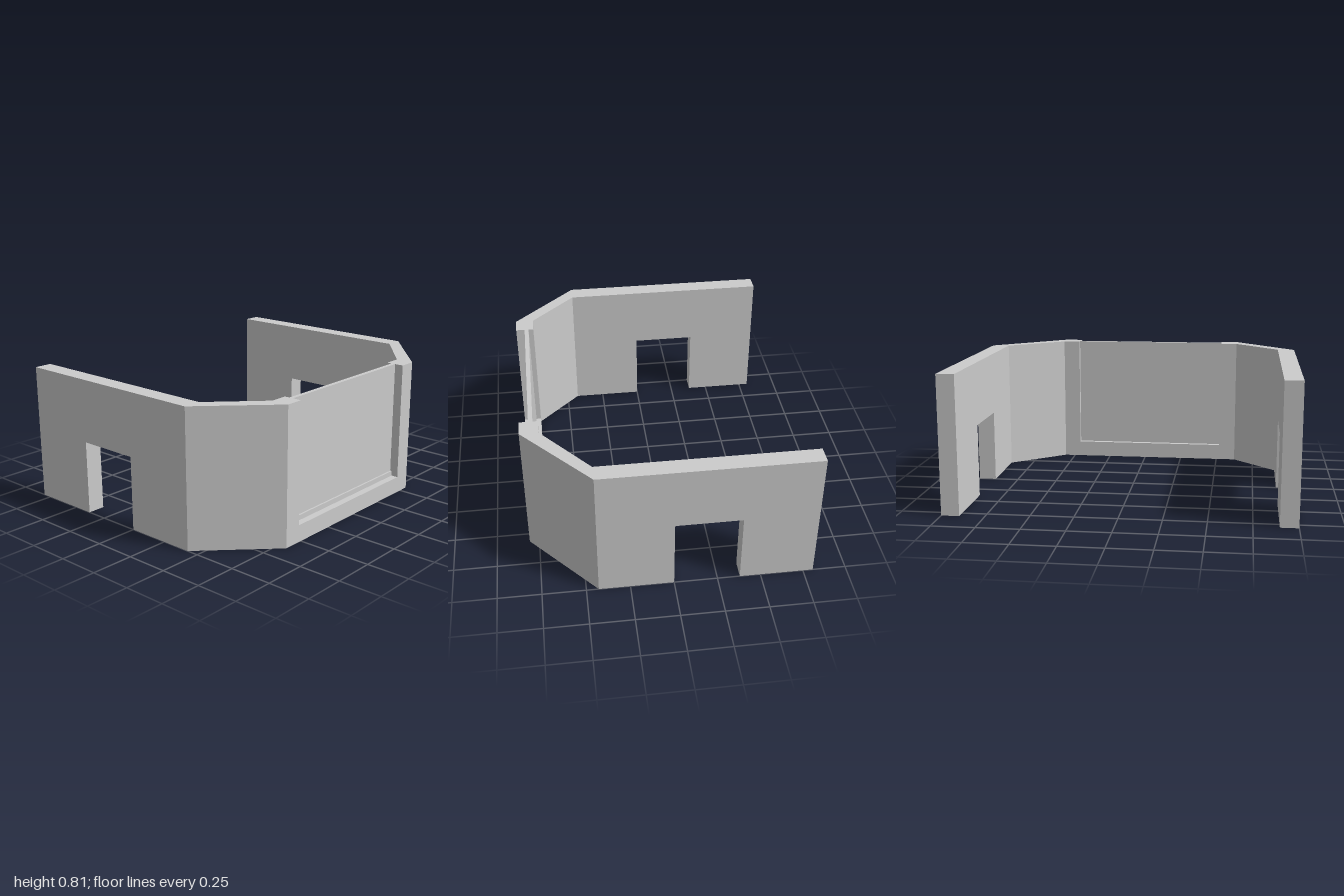
import * as THREE from 'three';

const HEIGHT = 0.81;
const FRONT = 0.808, BACK = -0.808, INNER_FRONT = 0.7;
const KNEE_Z = 0.43, OUTER_X = 1, INNER_X = 0.895;
const material = new THREE.MeshStandardMaterial({ color: 0xcccccc, flatShading: true });

const shapeOf = (points) => new THREE.Shape(points.map(([a, b]) => new THREE.Vector2(a, b)));

function part(name, geometry) {
  const mesh = new THREE.Mesh(geometry, material);
  mesh.name = name;
  return mesh;
}

// Extrude a [z, y] profile along x, from x0 to x1
function alongX(profile, x0, x1) {
  return new THREE.ExtrudeGeometry(shapeOf(profile), { depth: x1 - x0, bevelEnabled: false })
    .rotateY(-Math.PI / 2)
    .translate(x1, 0, 0);
}

// Extrude an [x, z] floor plan upwards to the wall height
function upwards(plan) {
  return new THREE.ExtrudeGeometry(shapeOf(plan.map(([x, z]) => [x, -z])), { depth: HEIGHT, bevelEnabled: false })
    .rotateX(-Math.PI / 2);
}

export function createModel() {
  const model = new THREE.Group();
  model.name = 'wallEnclosure';

  // Side walls, each with a doorway open to the ground
  const doorway = [[0, 0], [0, 0.435], [-0.38, 0.435], [-0.38, 0]];
  const sideProfile = [[BACK, 0], [BACK, HEIGHT], [KNEE_Z, HEIGHT], [KNEE_Z, 0], ...doorway];
  model.add(part('leftWall', alongX(sideProfile, INNER_X, OUTER_X)));
  model.add(part('rightWall', alongX(sideProfile, -OUTER_X, -INNER_X)));

  // Angled corner walls, each ending in a post beside the front panel
  const corners = [
    { name: 'leftCornerWall', side: 1, bendX: 0.565, postX: 0.46 },
    { name: 'rightCornerWall', side: -1, bendX: -0.625, postX: -0.52 },
  ];
  for (const { name, side, bendX, postX } of corners) {
    model.add(part(name, upwards([
      [side * OUTER_X, KNEE_Z], [bendX, FRONT], [postX, FRONT],
      [postX, INNER_FRONT], [bendX, INNER_FRONT], [side * INNER_X, KNEE_Z],
    ])));
  }

  // Front wall: thick base, small sill step and thin recessed panel
  const frontProfile = [
    [FRONT, 0], [FRONT, 0.1], [0.766, 0.1], [0.766, 0.13], [0.755, 0.13],
    [0.755, HEIGHT], [0.73, HEIGHT], [0.73, 0.1], [INNER_FRONT, 0.1], [INNER_FRONT, 0],
  ];
  model.add(part('frontPanel', alongX(frontProfile, -0.52, 0.46)));

  return model;
}
